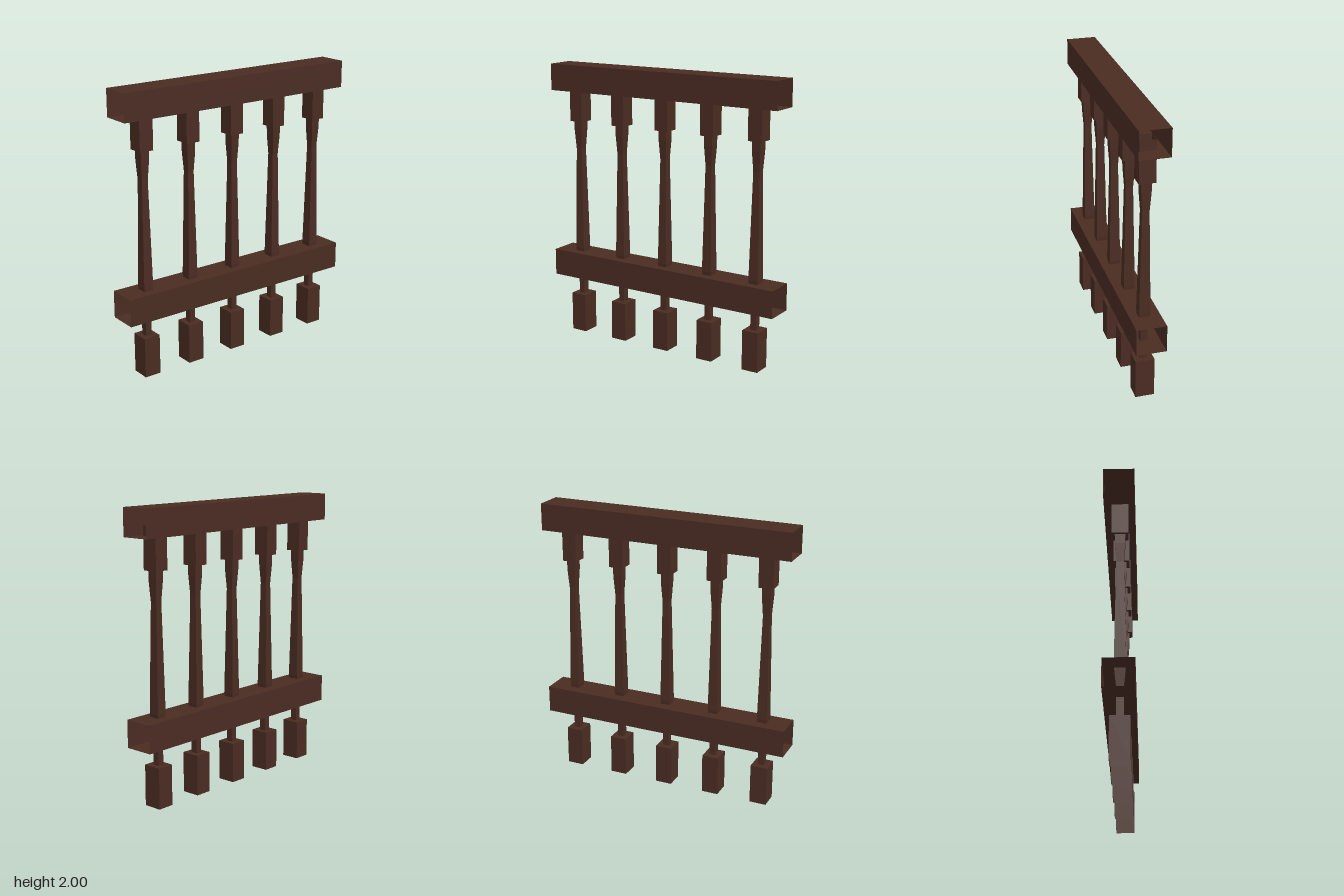
import * as THREE from 'three';

const darkWood = new THREE.MeshStandardMaterial({ color: 0x4a2c22, side: THREE.DoubleSide });
darkWood.name = 'darkWood';

// Rail: four long walls, open at both ends
function rail(name, y0, y1) {
  const geo = new THREE.BoxGeometry(1.83, y1 - y0, 0.208);
  geo.setIndex(Array.from(geo.index.array).slice(12)); // drop the two end faces
  geo.clearGroups();
  const mesh = new THREE.Mesh(geo, darkWood);
  mesh.name = name;
  mesh.position.y = (y0 + y1) / 2;
  return mesh;
}

// Square baluster profile: [half depth, height], open at the foot
const profile = [
  [0.066, 0], [0.066, 0.285], [0.024, 0.285], [0.024, 0.49], [0.039, 0.64],
  [0.025, 1.385], [0.034, 1.52], [0.035, 1.59], [0.056, 1.59], [0.056, 1.88],
];

function balusterGeometry() {
  const points = profile.map(([r, y]) => new THREE.Vector2(r * Math.SQRT2, y));
  const geo = new THREE.LatheGeometry(points, 4, Math.PI / 4).toNonIndexed();
  geo.scale(0.91, 1, 1); // slightly narrower than deep
  geo.computeVertexNormals();
  return geo;
}

export function createModel() {
  const model = new THREE.Group();
  model.name = 'balustrade';
  model.add(rail('topRail', 1.81, 2), rail('bottomRail', 0.422, 0.615));

  // Row of five balusters
  const geo = balusterGeometry();
  for (let i = -2; i <= 2; i++) {
    const baluster = new THREE.Mesh(geo, darkWood);
    baluster.name = `baluster${i + 3}`;
    baluster.position.set(0.002 + i * 0.366, 0, 0.005);
    model.add(baluster);
  }
  return model;
}
